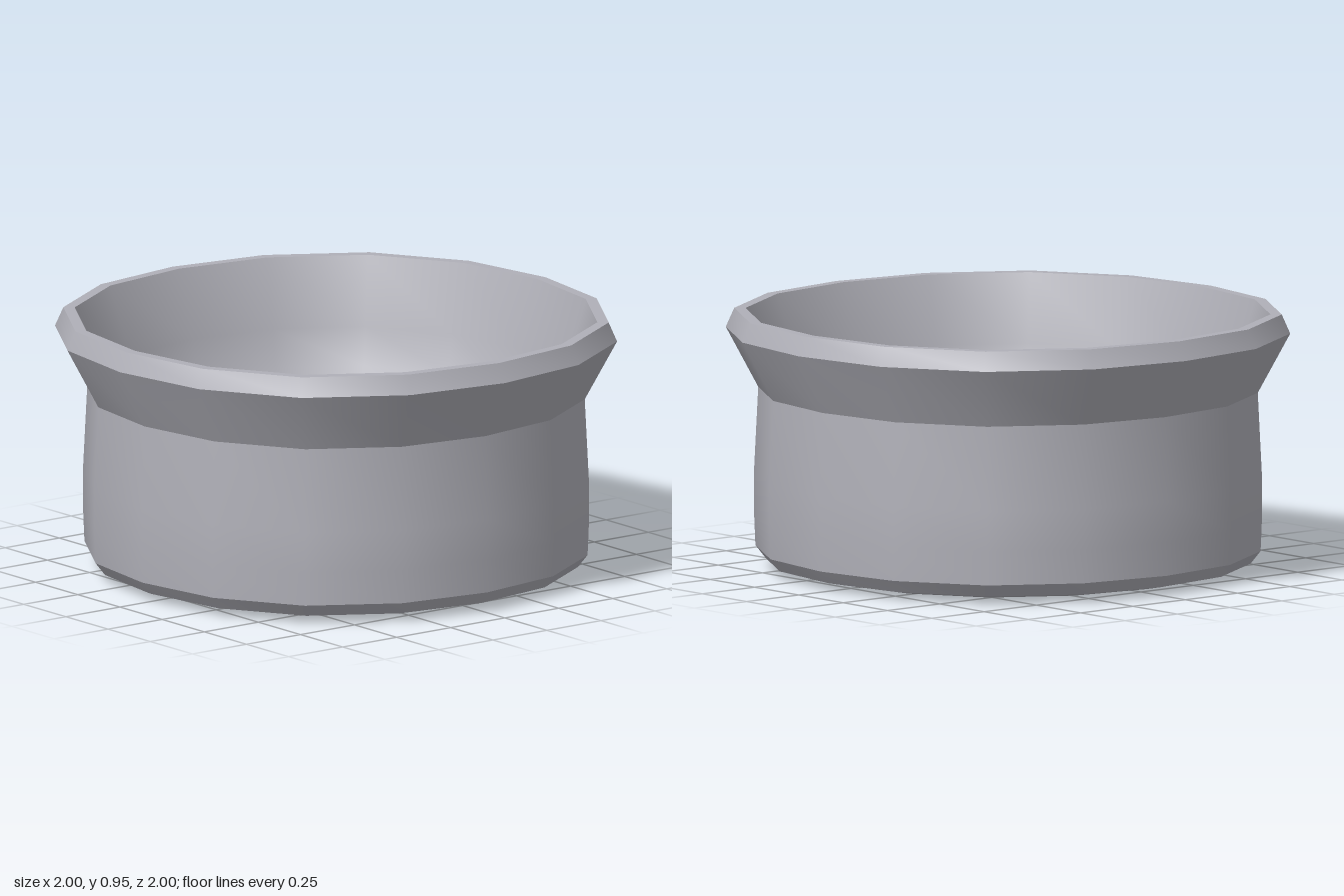
import * as THREE from 'three';
import { mergeVertices } from 'three/addons/utils/BufferGeometryUtils.js';

// Turns a profile into a 16-sided band whose plan bulges slightly on the diagonals.
function turnedBand(profile) {
  const points = profile.map(([r, y]) => new THREE.Vector2(r, y));
  const lathe = new THREE.LatheGeometry(points, 16);
  const pos = lathe.attributes.position;
  for (let i = 0; i < pos.count; i++) {
    const x = pos.getX(i), z = pos.getZ(i);
    const bulge = 1 + 0.033 * Math.sin(2 * Math.atan2(z, x)) ** 2;
    pos.setX(i, x * bulge);
    pos.setZ(i, z * bulge);
  }
  // Weld the seam so the band shades smoothly all round
  lathe.deleteAttribute('uv');
  lathe.deleteAttribute('normal');
  const geometry = mergeVertices(lathe);
  geometry.computeVertexNormals();
  return geometry;
}

export function createModel() {
  const bowl = new THREE.Group();
  bowl.name = 'bowl';

  const ceramic = new THREE.MeshStandardMaterial({ color: 0xb0b0b8 });
  ceramic.name = 'grey ceramic';

  // Each band is smooth in itself; separate bands keep hard edges between them.
  // Profiles run [radius, height] up the outside, over the rim and down the inside.
  const bands = {
    base: [[0, 0], [0.55, 0.005], [0.78, 0.014], [0.86, 0.03]],
    footChamfer: [[0.86, 0.03], [0.895, 0.076]],
    outerWall: [[0.895, 0.076], [0.9, 0.2], [0.9, 0.35], [0.885, 0.66]],
    flare: [[0.885, 0.66], [1, 0.88]],
    rimChamfer: [[1, 0.88], [0.97, 0.95]],
    rimTop: [[0.97, 0.95], [0.93, 0.95]],
    interior: [[0.93, 0.95], [0.85, 0.7], [0.82, 0.56], [0.72, 0.4],
      [0.5, 0.26], [0.25, 0.19], [0, 0.17]],
  };

  for (const [name, profile] of Object.entries(bands)) {
    const mesh = new THREE.Mesh(turnedBand(profile), ceramic);
    mesh.name = name;
    bowl.add(mesh);
  }
  return bowl;
}
